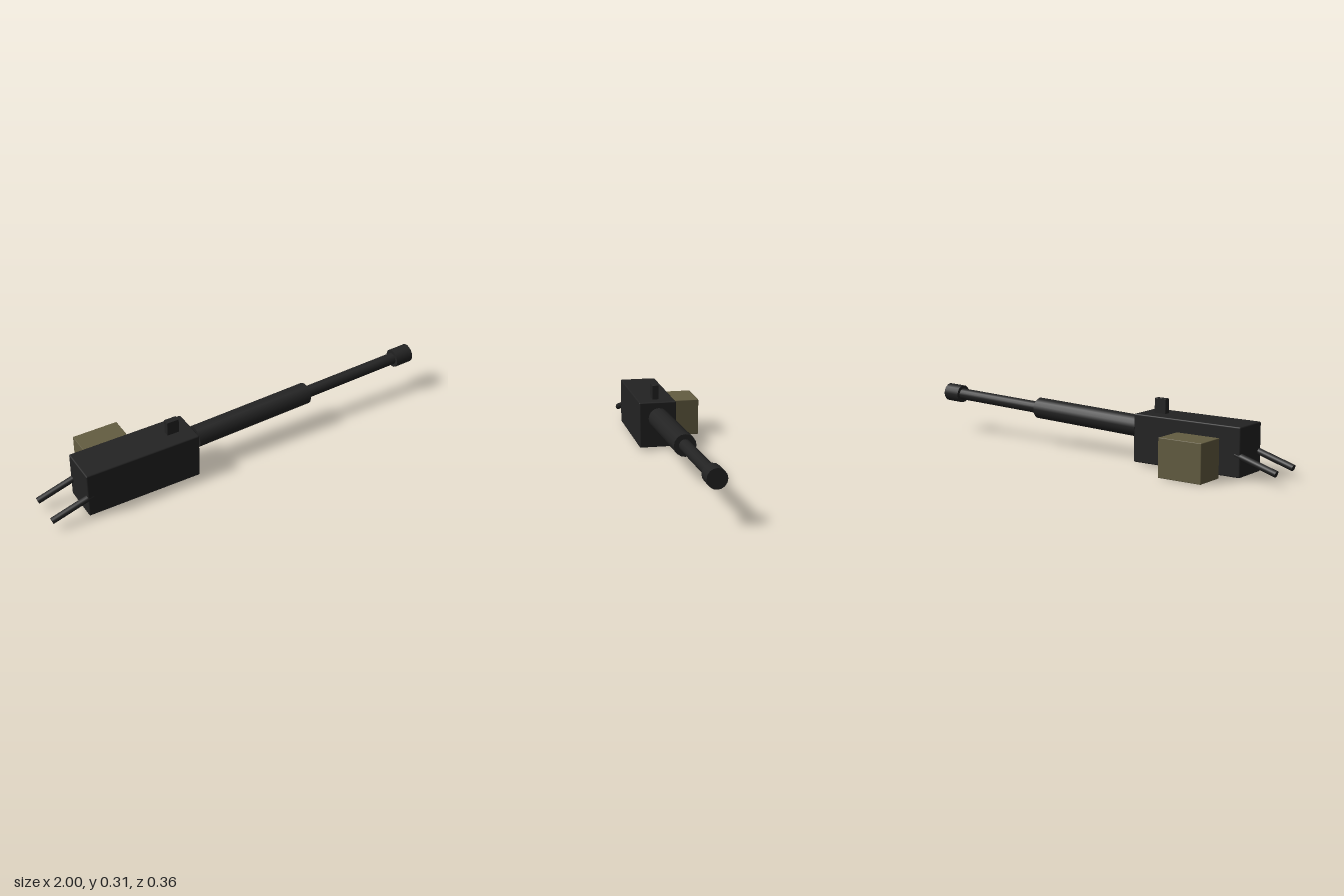
import * as THREE from 'three';
import { RoundedBoxGeometry } from 'three/addons/geometries/RoundedBoxGeometry.js';

export function createModel() {
  const model = new THREE.Group();
  model.name = 'mountedGun';

  const gunmetal = new THREE.MeshStandardMaterial({ color: 0x232323 });
  gunmetal.name = 'gunmetal';
  const olive = new THREE.MeshStandardMaterial({ color: 0x645d41 });
  olive.name = 'olive drab';

  const GUN_Z = 0.085; // centre line of the gun

  // Box with slightly chamfered edges, given by its extents
  function block(name, material, [x0, x1], [y0, y1], [z0, z1], bevel) {
    const geometry = new RoundedBoxGeometry(x1 - x0, y1 - y0, z1 - z0, 1, bevel);
    const mesh = new THREE.Mesh(geometry, material);
    mesh.position.set((x0 + x1) / 2, (y0 + y1) / 2, (z0 + z1) / 2);
    mesh.name = name;
    model.add(mesh);
  }

  // Capped cylinder between two points
  function rod(name, from, to, radius, sides) {
    const dir = to.clone().sub(from);
    const geometry = new THREE.CylinderGeometry(radius, radius, dir.length(), sides);
    const mesh = new THREE.Mesh(geometry, gunmetal);
    mesh.position.copy(from).add(to).multiplyScalar(0.5);
    mesh.quaternion.setFromUnitVectors(new THREE.Vector3(0, 1, 0), dir.normalize());
    mesh.name = name;
    model.add(mesh);
  }

  // Receiver, sight and ammunition box
  block('receiver', gunmetal, [-0.82, -0.25], [0.01, 0.239], [-0.007, 0.177], 0.006);
  block('frontSight', gunmetal, [-0.374, -0.314], [0.2, 0.309], [0.07, 0.1], 0.001);
  block('ammoBox', olive, [-0.725, -0.5], [0, 0.184], [-0.177, -0.025], 0.003);

  // Barrel parts share one slightly raised axis
  const onAxis = (x) => new THREE.Vector3(x, 0.171 + 0.036 * x, GUN_Z);
  rod('barrel', onAxis(-0.3), onAxis(0.95), 0.029, 16);
  rod('barrelJacket', onAxis(-0.224), onAxis(0.388), 0.052, 16);
  rod('muzzle', onAxis(0.906), onAxis(0.998), 0.045, 16);

  // Pair of rear grips, sloping down and back
  for (const side of [-1, 1]) {
    const z = GUN_Z + side * 0.078;
    rod(side < 0 ? 'rightGrip' : 'leftGrip',
      new THREE.Vector3(-0.995, 0.051, z), new THREE.Vector3(-0.79, 0.113, z), 0.0155, 12);
  }

  return model;
}
